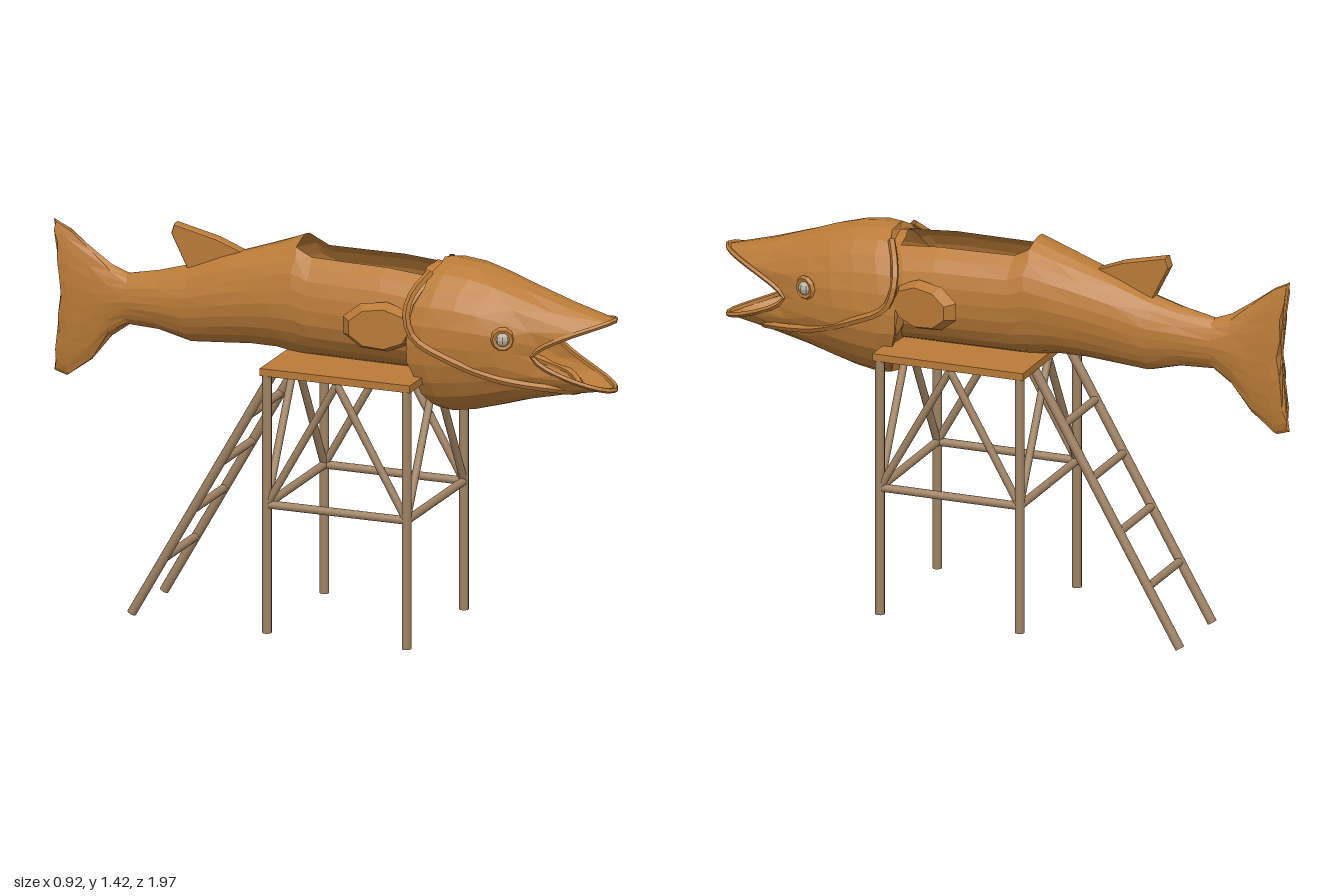
import * as THREE from 'three';

const copper = new THREE.MeshStandardMaterial({ color: 0xba7b38, flatShading: true, side: THREE.DoubleSide });
copper.name = 'copper brown';
const wood = new THREE.MeshStandardMaterial({ color: 0xa08364 });
wood.name = 'pale wood';
const eyeGrey = new THREE.MeshStandardMaterial({ color: 0xb9b0a0, flatShading: true });
eyeGrey.name = 'eye grey';

const V = (x, y, z) => new THREE.Vector3(x, y, z);

function add(parent, name, geometry, material) {
  const mesh = new THREE.Mesh(geometry, material);
  mesh.name = name;
  parent.add(mesh);
  return mesh;
}

// Round pole between two points
function pole(parent, name, a, b, r) {
  const mesh = add(parent, name, new THREE.CylinderGeometry(r, r, a.distanceTo(b), 12), wood);
  mesh.position.copy(a).add(b).multiplyScalar(0.5);
  mesh.quaternion.setFromUnitVectors(V(0, 1, 0), b.clone().sub(a).normalize());
}

// Fish sections from tail to mouth: z at the sides, top, bottom, half width,
// and how far the top and bottom run ahead of the sides
const SECTIONS = [
  [-1.155, 1.15, 1.05, 0.004, 0],
  [-1.15, 1.37, 0.815, 0.03, -0.03],
  [-1.12, 1.345, 0.80, 0.036, -0.01],
  [-1.04, 1.275, 0.87, 0.038, 0],
  [-0.97, 1.225, 0.965, 0.045, 0],
  [-0.9, 1.2, 1.015, 0.052, 0],
  [-0.78, 1.225, 1.01, 0.07, 0],
  [-0.66, 1.26, 0.98, 0.088, 0],
  [-0.54, 1.31, 0.99, 0.108, 0],
  [-0.42, 1.35, 1.0, 0.125, 0],
  [-0.32, 1.385, 1.0, 0.142, 0],
  [-0.23, 1.42, 0.985, 0.153, 0],
  [-0.17, 1.39, 0.985, 0.16, 0],
  [-0.03, 1.388, 0.985, 0.17, 0],
  [0.11, 1.387, 0.985, 0.178, 0],
  [0.2, 1.375, 0.985, 0.18, 0.06],
  [0.225, 1.37, 0.92, 0.182, 0.07],
  [0.228, 1.395, 0.85, 0.203, 0.075],
  [0.29, 1.4, 0.845, 0.21, 0.06],
  [0.38, 1.39, 0.86, 0.208, 0.06],
  [0.47, 1.365, 0.885, 0.2, 0.06],
  [0.55, 1.33, 0.915, 0.182, 0.08],
  [0.62, 1.28, 0.95, 0.155, 0.16],
  [0.68, 1.235, 0.98, 0.128, 0.265],
];
const SIDES = 24;

// Hollow shell through all sections, open at the mouth and along the back
function fishShell() {
  const pos = [], index = [];
  SECTIONS.forEach(([z, top, bottom, w, lead], i) => {
    const mid = (top + bottom) / 2, h = (top - bottom) / 2;
    for (let j = 0; j < SIDES; j++) {
      const a = (j / SIDES) * Math.PI * 2, c = Math.cos(a);
      const wobble = 1 + 0.018 * Math.sin(i * 12.9 + j * 7.3);
      const zShift = lead * Math.pow(Math.abs(c), 1.5) + 0.006 * Math.sin(i * 5.1 + j * 3.7);
      pos.push(0.008 + Math.sin(a) * w * wobble, mid + c * h, z + zShift);
    }
  });
  for (let i = 0; i < SECTIONS.length - 1; i++) {
    for (let j = 0; j < SIDES; j++) {
      const overBack = i >= 11 && i < 15 && (j < 2 || j >= SIDES - 2);
      if (overBack) continue;
      const a = i * SIDES + j, b = i * SIDES + ((j + 1) % SIDES);
      const c = a + SIDES, d = b + SIDES;
      if ((i + j) % 2) index.push(a, c, b, b, c, d);
      else index.push(a, c, d, a, d, b);
    }
  }
  const g = new THREE.BufferGeometry();
  g.setAttribute('position', new THREE.Float32BufferAttribute(pos, 3));
  g.setIndex(index);
  g.computeVertexNormals();
  return g;
}

function buildFish() {
  const fish = new THREE.Group();
  fish.name = 'fish';
  add(fish, 'fishBody', fishShell(), copper);

  // Thickened rim of the mouth
  const [z, top, bottom, w, lead] = SECTIONS[SECTIONS.length - 1];
  const rim = [];
  for (let j = 0; j < SIDES; j++) {
    const a = (j / SIDES) * Math.PI * 2, c = Math.cos(a);
    rim.push(V(0.008 + Math.sin(a) * w, (top + bottom) / 2 + c * (top - bottom) / 2,
      z + lead * Math.pow(Math.abs(c), 1.5)));
  }
  add(fish, 'mouthRim', new THREE.TubeGeometry(new THREE.CatmullRomCurve3(rim, true), 40, 0.01, 5, true), copper);

  // Gill ridge running from cheek to cheek under the chin
  const cheek = [[0.1, 1.365, 0.285], [0.17, 1.3, 0.245], [0.205, 1.23, 0.235], [0.21, 1.15, 0.265],
    [0.202, 1.08, 0.4], [0.16, 1.02, 0.56], [0.1, 0.99, 0.74]];
  const line = [...cheek.map(([x, y, q]) => V(-x + 0.008, y, q)), V(0.008, 0.965, 0.81),
    ...cheek.slice().reverse().map(([x, y, q]) => V(x + 0.008, y, q))];
  add(fish, 'gillRidge', new THREE.TubeGeometry(new THREE.CatmullRomCurve3(line), 50, 0.014, 5), copper);

  // Dorsal fin, drawn with z along the shape's x
  const fin = new THREE.Shape([[-0.44, 1.32], [-0.56, 1.365], [-0.72, 1.402], [-0.73, 1.37], [-0.67, 1.25]]
    .map(([x, y]) => new THREE.Vector2(x, y)));
  const finGeo = new THREE.ExtrudeGeometry(fin, { depth: 0.03, bevelEnabled: true, bevelSize: 0.004, bevelThickness: 0.006, bevelSegments: 1 });
  finGeo.translate(0, 0, -0.015).rotateY(-Math.PI / 2);
  add(fish, 'dorsalFin', finGeo, copper).position.x = 0.008;

  for (const s of [-1, 1]) {
    // Side fin flaring out towards the back
    const sideFin = add(fish, 'sideFin', new THREE.CylinderGeometry(0.8, 1, 1, 9).rotateZ(-Math.PI / 2 * s), copper);
    sideFin.scale.set(0.04, 0.092, 0.14);
    sideFin.position.set(0.008 + s * 0.2, 1.17, 0.13);
    sideFin.rotation.y = -s * 0.2;

    // Eye with a socket ring
    const eye = new THREE.Group();
    eye.name = 'eye';
    eye.position.set(0.008 + s * 0.165, 1.17, 0.585);
    eye.rotation.y = s * 1.2;
    fish.add(eye);
    add(eye, 'eyeSocket', new THREE.TorusGeometry(0.033, 0.012, 5, 10), copper);
    add(eye, 'eyeball', new THREE.SphereGeometry(0.027, 8, 6), eyeGrey);
  }
  return fish;
}

function buildTower() {
  const tower = new THREE.Group();
  tower.name = 'tower';
  add(tower, 'platform', new THREE.BoxGeometry(0.57, 0.027, 0.57), copper).position.y = 0.987;

  // Legs, with a crossbar and an A-shaped brace on each face
  const h = 0.265;
  const corners = [[-h, -h], [h, -h], [h, h], [-h, h]];
  corners.forEach(([x, z], i) => {
    const [nx, nz] = corners[(i + 1) % 4];
    const apex = V((x + nx) / 2, 0.968, (z + nz) / 2);
    pole(tower, 'leg', V(x, 0.03, z), V(x, 0.975, z), 0.017);
    pole(tower, 'crossbar', V(x, 0.5, z), V(nx, 0.5, nz), 0.015);
    pole(tower, 'brace', V(x, 0.5, z), apex, 0.014);
    pole(tower, 'brace', V(nx, 0.5, nz), apex, 0.014);
  });

  // Ladder leaning on the rear edge
  const ladderZ = (y) => -0.83 + (y / 0.97) * 0.555;
  for (const s of [-1, 1]) pole(tower, 'ladderRail', V(s * 0.15, 0.008, ladderZ(0.008)), V(s * 0.15, 0.97, ladderZ(0.97)), 0.017);
  for (const y of [0.22, 0.41, 0.595, 0.78]) pole(tower, 'ladderRung', V(-0.15, y, ladderZ(y)), V(0.15, y, ladderZ(y)), 0.015);
  return tower;
}

export function createModel() {
  const model = new THREE.Group();
  model.name = 'fishLookout';
  const turned = new THREE.Group();
  turned.name = 'fishOnTower';
  turned.add(buildTower(), buildFish());
  turned.rotation.y = 0.41;
  turned.position.set(0.02, 0, 0.105);
  model.add(turned);
  return model;
}
